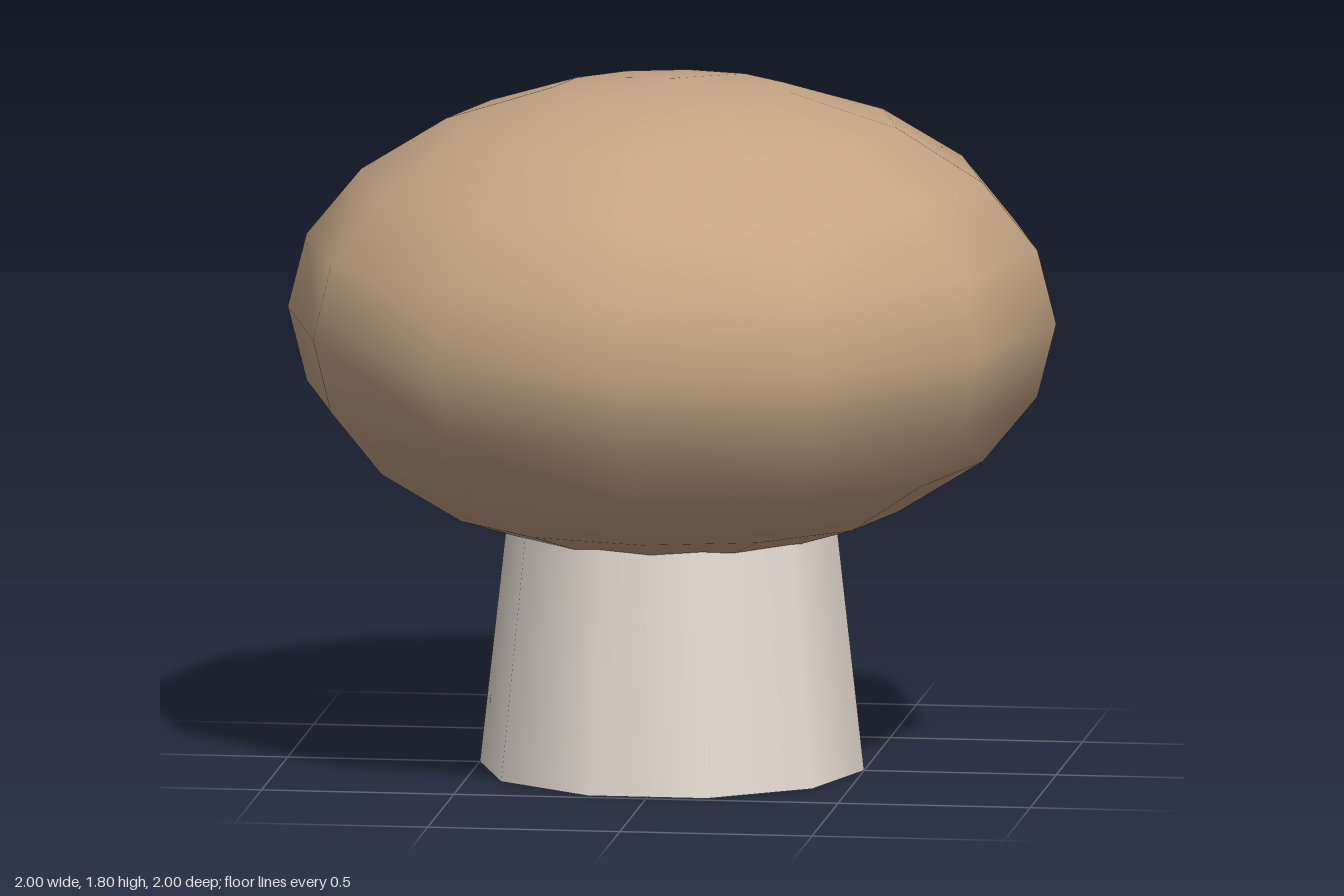
import * as THREE from 'three';

export function createModel() {
  const group = new THREE.Group();
  group.name = 'mushroom';

  const capColor = new THREE.MeshStandardMaterial({ color: 0xc4a484 });
  capColor.name = 'tan cap';
  const stemColor = new THREE.MeshStandardMaterial({ color: 0xe6dcd3 });
  stemColor.name = 'pale stem';

  // Tapered ten-sided stem, its top hidden inside the cap
  const stemHeight = 0.9;
  const stem = new THREE.Mesh(new THREE.CylinderGeometry(0.4, 0.5, stemHeight, 10), stemColor);
  stem.name = 'stem';
  stem.position.y = stemHeight / 2;
  stem.rotation.y = Math.PI / 2; // a corner points along each side
  group.add(stem);

  // Flattened low-poly sphere with smooth normals
  const cap = new THREE.Mesh(new THREE.SphereGeometry(1, 12, 10), capColor);
  cap.name = 'cap';
  cap.scale.y = 0.62;
  cap.position.y = 1.18;
  group.add(cap);

  return group;
}
